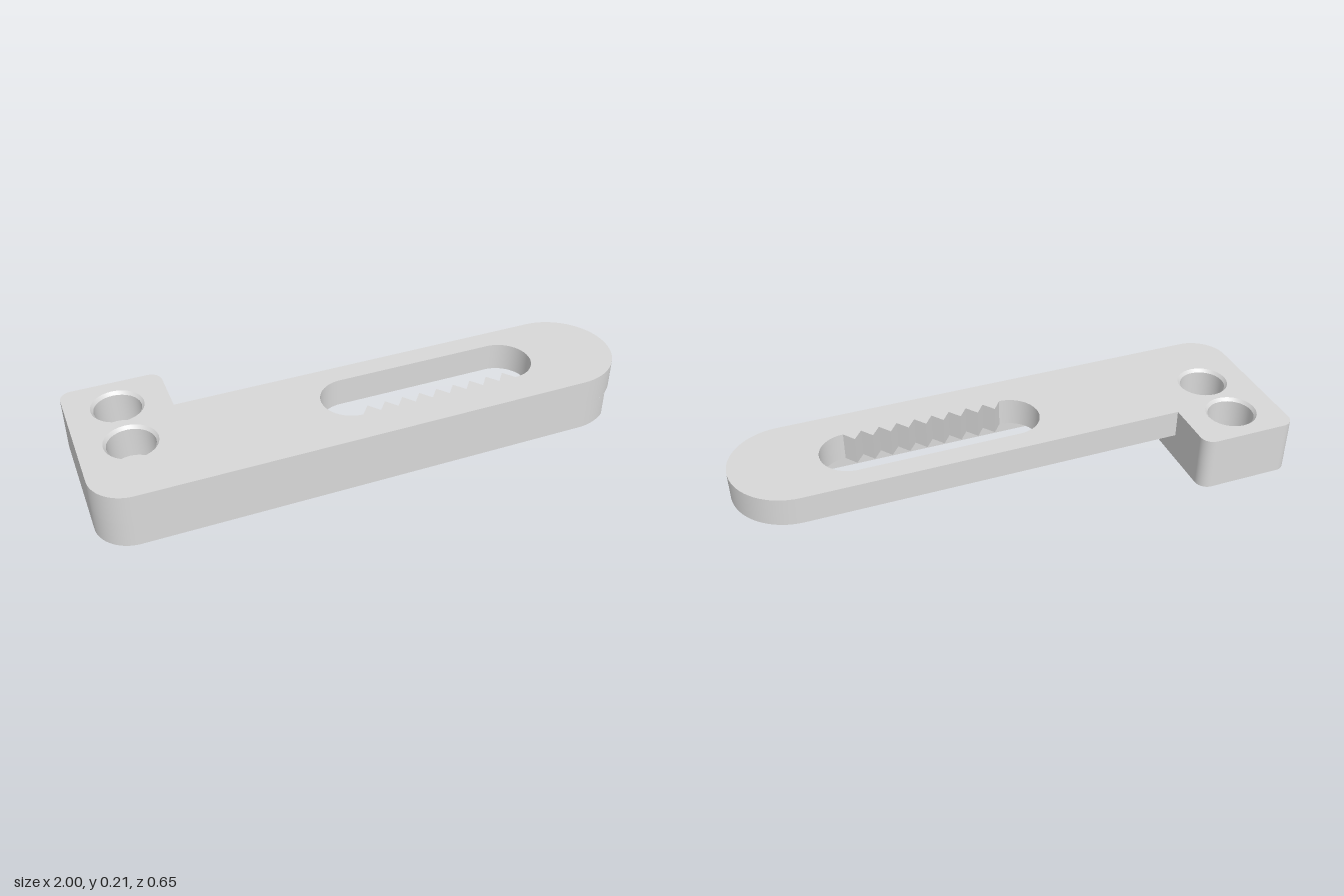
import * as THREE from 'three';
import { toCreasedNormals } from 'three/addons/utils/BufferGeometryUtils.js';

const TOP = 0.206, STEP = 0.099, SEG = 16;
const END = { x: 0.785, v: -0.108, r: 0.215 };      // rounded end of the arm
const LIP = -0.28;                                   // inner face of the front lip
const LIP_ANGLE = Math.asin((LIP - END.v) / END.r);
const BLOCK_X = -0.632;
const HOLES = [[-0.818, 0.174], [-0.818, -0.043]];

// Plan shapes are drawn counter-clockwise in (x, v) with v = -z.
function finishBlock(s) {
  s.lineTo(BLOCK_X, 0.278);
  s.absarc(BLOCK_X - 0.045, 0.278, 0.045, 0, Math.PI / 2);
  s.absarc(-0.955, 0.278, 0.045, Math.PI / 2, Math.PI);
  s.absarc(-0.87, -0.193, 0.13, Math.PI, Math.PI * 1.5);
  return s;
}

function fullOutline() {
  const s = new THREE.Shape();
  s.absarc(END.x, END.v, END.r, -Math.PI / 2, Math.PI / 2);
  s.lineTo(BLOCK_X, 0.107);
  return finishBlock(s);
}

function footOutline() {
  const s = new THREE.Shape();
  s.absarc(END.x, END.v, END.r, -Math.PI / 2, LIP_ANGLE);
  s.lineTo(BLOCK_X, LIP);
  return finishBlock(s);
}

function undersideOutline() {
  const s = new THREE.Shape();
  s.absarc(END.x, END.v, END.r, LIP_ANGLE, Math.PI / 2);
  s.lineTo(BLOCK_X, 0.107);
  s.lineTo(BLOCK_X, LIP);
  return s;
}

// Slot with a row of teeth along its front edge
function slotPath() {
  const x0 = -0.034, x1 = 0.569, v = -0.086, r = 0.1115, teeth = 9;
  const pitch = (x1 - x0) / teeth;
  const p = new THREE.Path();
  p.moveTo(x0, v - r);
  for (let i = 0; i < teeth; i++) {
    p.lineTo(x0 + (i + 0.5) * pitch, v - r + 0.043);
    p.lineTo(x0 + (i + 1) * pitch, v - r);
  }
  p.absarc(x1, v, r, -Math.PI / 2, Math.PI / 2);
  p.absarc(x0, v, r, Math.PI / 2, Math.PI * 1.5);
  return p;
}

const circle = (x, v, r) => new THREE.Path().absarc(x, v, r, 0, Math.PI * 2);

// Creased normals, computed at a larger scale so close vertices stay distinct
const crease = (g) => toCreasedNormals(g.scale(100, 100, 100), 0.4).scale(0.01, 0.01, 0.01);

// Flat face at height y, facing up or down
function cap(shape, holes, y, up) {
  shape.holes = holes;
  const g = new THREE.ShapeGeometry(shape, SEG);
  g.rotateX(-Math.PI / 2);
  g.translate(0, y, 0);
  if (!up) {
    const a = g.index.array;
    for (let i = 0; i < a.length; i += 3) [a[i], a[i + 1]] = [a[i + 1], a[i]];
    g.computeVertexNormals();
  }
  return g;
}

// Upright wall along a path; facing inward for an opening
function wall(path, y0, y1, inward = false) {
  const pts = path.getPoints(SEG);
  if (inward) pts.reverse();
  const pos = [];
  pts.forEach((p, i) => {
    const q = pts[(i + 1) % pts.length];
    if (p.distanceTo(q) < 1e-5) return;
    pos.push(p.x, y0, -p.y, q.x, y0, -q.y, q.x, y1, -q.y);
    pos.push(p.x, y0, -p.y, q.x, y1, -q.y, p.x, y1, -p.y);
  });
  const g = new THREE.BufferGeometry();
  g.setAttribute('position', new THREE.Float32BufferAttribute(pos, 3));
  return crease(g);
}

export function createModel() {
  const model = new THREE.Group();
  model.name = 'slottedBracket';
  const grey = new THREE.MeshStandardMaterial({ color: 0xd8d8d8 });
  grey.name = 'lightGrey';
  const add = (name, geometry) => {
    const m = new THREE.Mesh(geometry, grey);
    m.name = name;
    model.add(m);
    return m;
  };

  // Flat faces
  const rims = HOLES.map(([x, v]) => circle(x, v, 0.095));
  const bores = HOLES.map(([x, v]) => circle(x, v, 0.045));
  add('topFace', cap(fullOutline(), [slotPath(), ...rims], TOP, true));
  add('armUnderside', cap(undersideOutline(), [slotPath()], STEP, false));
  add('baseFace', cap(footOutline(), bores, 0, false));

  // Side walls
  add('upperSides', wall(fullOutline(), STEP, TOP));
  add('blockAndLipSides', wall(footOutline(), 0, STEP));
  add('toothedSlotWall', wall(slotPath(), STEP, TOP, true));

  // Chamfered, counterbored screw holes
  const profile = [[0.095, TOP], [0.085, TOP - 0.012], [0.085, 0.08], [0.045, 0.08], [0.045, 0]]
    .map(([r, y]) => new THREE.Vector2(r, y));
  for (const [x, v] of HOLES) {
    const bore = add('screwHole', crease(new THREE.LatheGeometry(profile, SEG * 2)));
    bore.position.set(x, 0, -v);
  }
  return model;
}
